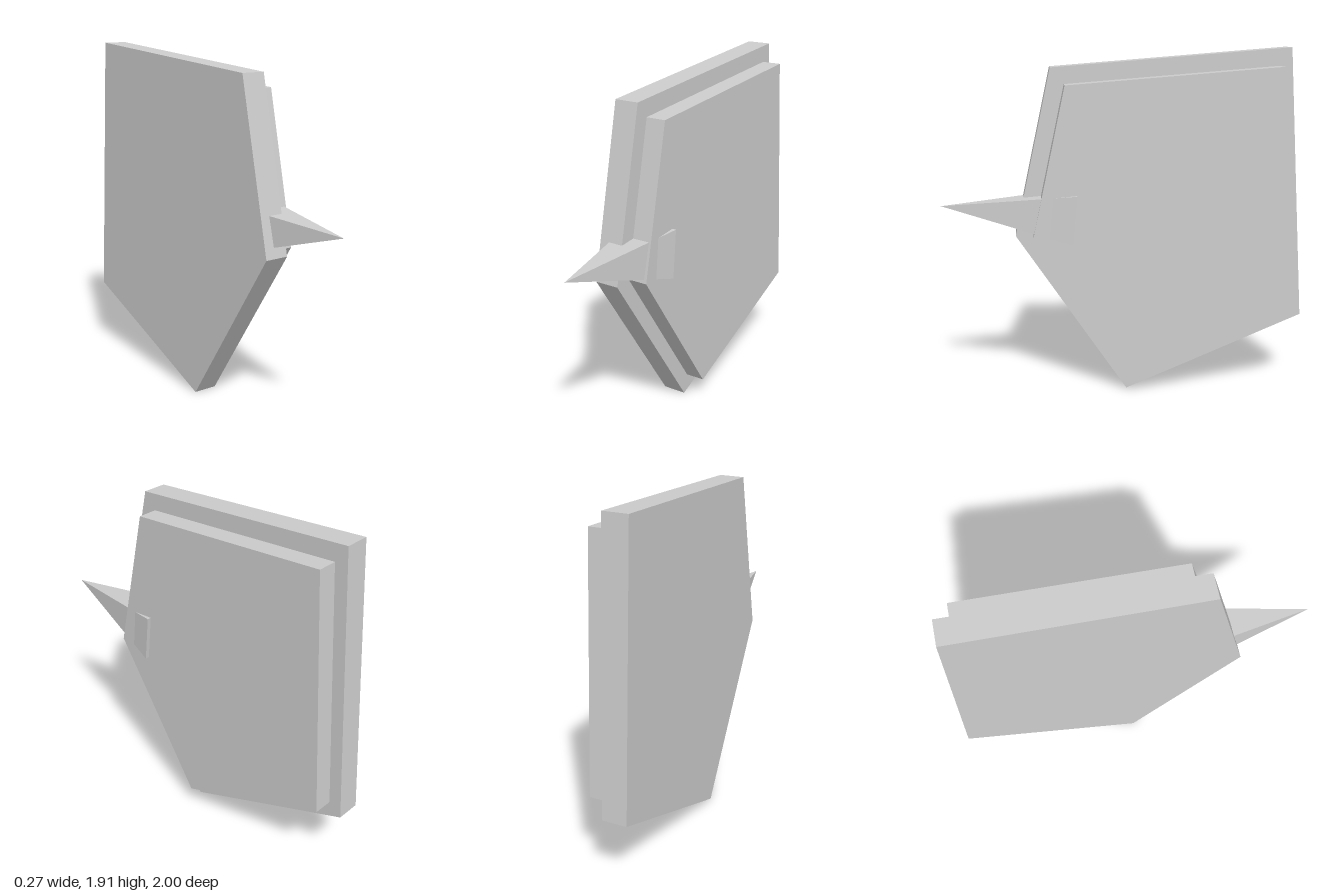
import * as THREE from 'three';

// Upright slab: outline given as [z, y] points, thickness runs along x
function slab(name, outline, x0, x1, material) {
  const shape = new THREE.Shape(outline.map(([z, y]) => new THREE.Vector2(-z, y)));
  const geometry = new THREE.ExtrudeGeometry(shape, { depth: x1 - x0, bevelEnabled: false });
  geometry.rotateY(Math.PI / 2).translate(x0, 0, 0);
  const mesh = new THREE.Mesh(geometry, material);
  mesh.name = name;
  return mesh;
}

export function createModel() {
  const group = new THREE.Group();
  group.name = 'pentagonPlateWithSpike';
  const grey = new THREE.MeshStandardMaterial({ color: 0xcccccc });
  grey.name = 'light grey';

  // Large backing slab and the smaller slab stacked on its +x face
  group.add(slab('outerPlate',
    [[0, 0], [-1, 0.405], [-0.9, 1.91], [0.405, 1.81], [0.605, 0.905]], -0.135, 0, grey));
  group.add(slab('innerPlate',
    [[-0.03, 0.11], [-0.925, 0.465], [-0.835, 1.812], [0.333, 1.723], [0.51, 0.915]], 0, 0.11, grey));

  // Four-sided spike, pointing forward and tilted slightly up
  const tilt = 0.1, height = 0.716;
  const cone = new THREE.ConeGeometry(0.133 * Math.SQRT2, height, 4, 1, false, Math.PI / 4);
  cone.translate(0, height / 2, 0).rotateX(Math.PI / 2 - tilt);
  const geometry = cone.toNonIndexed();
  geometry.computeVertexNormals();
  const spike = new THREE.Mesh(geometry, grey);
  spike.name = 'spike';
  spike.position.set(0, 1.008, 0.288);
  group.add(spike);

  return group;
}
